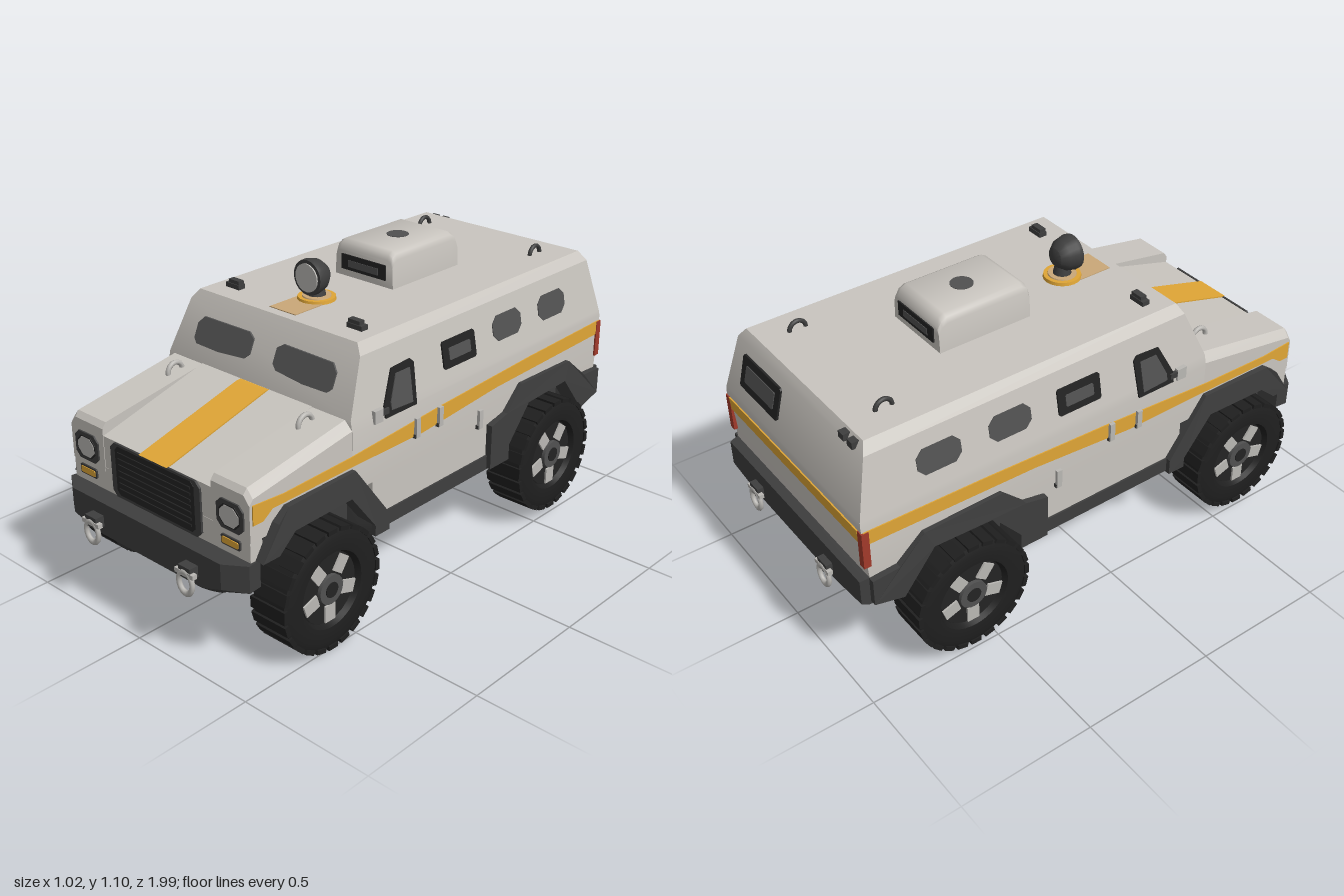
import * as THREE from 'three';
import { toCreasedNormals } from 'three/addons/utils/BufferGeometryUtils.js';

const mat = (name, color) => new THREE.MeshStandardMaterial({ name, color });

export function createModel() {
  const root = new THREE.Group();
  root.name = 'armouredTruck';
  const paint = mat('bodyPaint', 0xc9c5bf), trim = mat('darkTrim', 0x3e3e3e), rubber = mat('tyreRubber', 0x1f1f1f),
    amber = mat('amber', 0xe0a636), glass = mat('glass', 0x515151), black = mat('blackFrame', 0x232323),
    metal = mat('lightMetal', 0xbab8b4), red = mat('tailRed', 0xa23a2a), tan = mat('tanPlate', 0xcaa878);

  function add(name, geo, material, x = 0, y = 0, z = 0, parent = root) {
    const m = new THREE.Mesh(geo, material);
    m.name = name;
    m.position.set(x, y, z);
    parent.add(m);
    return m;
  }
  const box = (name, w, h, d, material, x, y, z, parent) => add(name, new THREE.BoxGeometry(w, h, d), material, x, y, z, parent);

  // Skin over rings of [x, y, z], ordered front to back, each counterclockwise seen from the front
  function loft(rings, crease = 0.45) {
    const v = [], n = rings[0].length;
    const quad = (a, b, c, d) => v.push(...a, ...b, ...c, ...a, ...c, ...d);
    for (let r = 0; r < rings.length - 1; r++)
      for (let i = 0; i < n; i++) {
        const j = (i + 1) % n, a = rings[r], b = rings[r + 1];
        quad(a[i], b[i], b[j], a[j]);
      }
    const f = rings[0], k = rings[rings.length - 1];
    for (let i = 0; i < n / 2 - 1; i++) {
      quad(f[i], f[i + 1], f[n - 2 - i], f[n - 1 - i]);
      quad(k[n - 1 - i], k[n - 2 - i], k[i + 1], k[i]);
    }
    const g = new THREE.BufferGeometry();
    g.setAttribute('position', new THREE.Float32BufferAttribute(v, 3));
    return toCreasedNormals(g, crease);
  }
  const mirrored = (half) => [...half, ...half.map(([x, y, z]) => [-x, y, z]).reverse()];
  const atZ = (z, half) => mirrored(half.map(([x, y]) => [x, y, z]));

  // Shape extruded by t, then moved by a rule
  const extrude = (pts, t, rule) =>
    rule(new THREE.ExtrudeGeometry(new THREE.Shape(pts.map((p) => new THREE.Vector2(...p))), { depth: t, bevelEnabled: false }));
  function move(g, fn) {
    const p = g.attributes.position;
    for (let i = 0; i < p.count; i++) p.setXYZ(i, ...fn(p.getX(i), p.getY(i), p.getZ(i)));
    g.computeVertexNormals();
    return g;
  }
  const panel = (cx, cy, w, h, c) => [[-w / 2 + c, -h / 2], [w / 2 - c, -h / 2], [w / 2, -h / 2 + c], [w / 2, h / 2 - c],
    [w / 2 - c, h / 2], [-w / 2 + c, h / 2], [-w / 2, h / 2 - c], [-w / 2, -h / 2 + c]].map(([x, y]) => [x + cx, y + cy]);

  // Surface rules: side wall, windscreen, hood, tail
  const sideX = (y, z) => (0.437 - 0.187 * Math.max(0, y - 0.69)) * (1 - 0.05 * Math.max(0, z - 0.46));
  const screenZ = (y) => 0.449 - 0.438 * (y - 0.73);
  const hoodZ = (y) => 0.89 - (0.44 * (y - 0.61)) / 0.12;
  const tailZ = (y) => (y < 0.7 ? -0.945 - 0.077 * (y - 0.57) : -0.955 + 0.256 * (y - 0.7));
  const sidePlate = (name, pts, t, material, s) => add(name, extrude(pts, t, (g) => move(g.rotateY(-Math.PI / 2),
    (x, y, z) => [s > 0 ? sideX(y, z) + x + t : -sideX(y, z) + x, y, z])), material);
  const frontPlate = (name, pts, t, material, rule = () => 0.89) =>
    add(name, extrude(pts, t, (g) => move(g, (x, y, z) => [x, y, rule(y) + z])), material);
  const tailPlate = (name, pts, t, material) =>
    add(name, extrude(pts, t, (g) => move(g, (x, y, z) => [x, y, tailZ(y) - t + z])), material);

  // Cabin
  const wall = (y, z) => [sideX(y, 0), y, z];
  add('cabin', loft([
    mirrored([wall(0.48, 0.449), wall(0.69, 0.449), wall(0.73, 0.449), wall(0.915, 0.368), [0.367, 0.95, 0.35]]),
    mirrored([wall(0.48, -0.938), wall(0.69, -0.954), wall(0.71, -0.952), wall(0.915, -0.9), [0.367, 0.95, -0.88]]),
  ]), paint);
  box('lowerDoors', 0.872, 0.15, 0.7, paint, 0, 0.415, 0);
  box('wheelWellLining', 0.85, 0.012, 1.72, trim, 0, 0.477, -0.03);

  // Hood, raised fenders and nose
  add('hood', loft([atZ(0.888, [[0.262, 0.41], [0.262, 0.61]]), atZ(0.448, [[0.262, 0.41], [0.262, 0.73]])]), paint);
  for (const s of [1, -1]) {
    const ring = (z, top) => {
      const r = [[0.26, 0.48], [sideX(0.48, z), 0.48], [sideX(0.57, z), 0.57],
        [sideX(top - 0.03, z), top - 0.03], [sideX(top, z) - 0.025, top], [0.26, top]].map(([x, y]) => [s * x, y, z]);
      return s > 0 ? r : r.reverse();
    };
    add('fender', loft([ring(0.89, 0.635), ring(0.875, 0.655), ring(0.445, 0.728)]), paint);
  }
  box('nosePanel', 0.85, 0.09, 0.05, paint, 0, 0.45, 0.864);
  frontPlate('hoodStripe', [[-0.067, 0.612], [0.067, 0.612], [0.067, 0.73], [-0.067, 0.73]], 0.018, amber, hoodZ);

  // Grille with slats
  frontPlate('grilleFrame', panel(0, 0.513, 0.43, 0.196, 0.02), 0.008, trim);
  frontPlate('grille', panel(0, 0.515, 0.38, 0.178, 0.015), 0.0095, black);
  for (let i = 0; i < 7; i++) box('grilleSlat', 0.35, 0.008, 0.006, black, 0, 0.449 + i * 0.022, 0.901);

  // Dark hull and bumpers, narrowed at the wheels
  const narrow = (z, b) => atZ(z, [[0.25, b], [0.35, 0.285], [0.35, 0.48]]);
  add('hull', loft([
    atZ(0.955, [[0.27, 0.29], [0.36, 0.32], [0.36, 0.41]]),
    atZ(0.905, [[0.26, 0.25], [0.435, 0.315], [0.435, 0.41]]),
    atZ(0.855, [[0.25, 0.215], [0.43, 0.315], [0.43, 0.41]]),
    narrow(0.835, 0.21), narrow(0.38, 0.22),
    atZ(0.36, [[0.25, 0.22], [0.443, 0.295], [0.443, 0.35]]),
    atZ(-0.36, [[0.25, 0.228], [0.443, 0.295], [0.443, 0.35]]),
    narrow(-0.38, 0.23), narrow(-0.82, 0.26),
    atZ(-0.84, [[0.26, 0.27], [0.437, 0.35], [0.437, 0.48]]),
    atZ(-0.95, [[0.27, 0.34], [0.437, 0.37], [0.437, 0.48]]),
    atZ(-0.972, [[0.27, 0.36], [0.432, 0.38], [0.432, 0.475]]),
  ]), trim);

  const frontFlare = [[0.87, 0.41], [0.8, 0.52], [0.75, 0.558], [0.45, 0.565], [0.29, 0.35], [0.29, 0.29], [0.36, 0.29],
    [0.36, 0.33], [0.475, 0.475], [0.73, 0.47], [0.8, 0.41]];
  const rearFlare = [[-0.26, 0.3], [-0.26, 0.47], [-0.35, 0.49], [-0.44, 0.575], [-0.74, 0.57], [-0.84, 0.485], [-0.94, 0.48],
    [-0.94, 0.38], [-0.83, 0.35], [-0.71, 0.5], [-0.48, 0.49], [-0.37, 0.36], [-0.37, 0.3]];

  for (const s of [1, -1]) {
    // Wheel arch flares, drawn in towards the top
    for (const [name, pts] of [['frontFlare', frontFlare], ['rearFlare', rearFlare]])
      add(name, extrude(pts, 0.07, (g) => move(g.rotateY(-Math.PI / 2),
        (x, y, z) => [s * 0.425 + (x + 0.035) * (y > 0.53 ? 0.8 : 1), y, z])), trim);

    // Side stripe, in two lengths
    sidePlate('sideStripe', [[0.46, 0.575], [0.1, 0.572], [-0.3, 0.603], [-0.948, 0.62], [-0.948, 0.672], [-0.5, 0.66], [0, 0.638], [0.46, 0.61]], 0.004, amber, s);
    sidePlate('sideStripe', [[0.46, 0.575], [0.46, 0.61], [0.75, 0.598], [0.88, 0.605], [0.88, 0.537], [0.84, 0.537], [0.8, 0.566]], 0.004, amber, s);

    // Side windows
    sidePlate('doorWindowFrame', [[0.295, 0.69], [0.14, 0.69], [0.13, 0.83], [0.145, 0.845], [0.24, 0.84], [0.295, 0.73]], 0.006, black, s);
    sidePlate('doorWindow', [[0.265, 0.71], [0.16, 0.705], [0.155, 0.82], [0.225, 0.82], [0.265, 0.735]], 0.009, glass, s);
    sidePlate('middleWindowFrame', panel(-0.105, 0.803, 0.175, 0.095, 0.006), 0.006, black, s);
    sidePlate('middleWindow', panel(-0.105, 0.803, 0.115, 0.042, 0.004), 0.009, glass, s);
    for (const z of [-0.38, -0.65]) sidePlate('rearSideWindow', panel(z, 0.813, 0.163, 0.09, 0.025), 0.003, glass, s);

    // Handles and mirror
    for (const [z, y] of [[0.14, 0.605], [0.02, 0.605], [-0.205, 0.515]]) {
      box('doorHandle', 0.012, 0.07, 0.02, metal, s * 0.447, y, z);
      box('handleFoot', 0.018, 0.014, 0.024, trim, s * 0.44, y - 0.03, z);
    }
    box('mirror', 0.022, 0.045, 0.04, metal, s * 0.434, 0.71, 0.33);
    box('mirrorBracket', 0.02, 0.02, 0.06, trim, s * 0.434, 0.715, 0.31);

    // Front lamps and windscreen
    frontPlate('headlampFrame', panel(s * 0.345, 0.545, 0.118, 0.1, 0.02), 0.006, trim);
    frontPlate('headlampRim', panel(s * 0.345, 0.545, 0.092, 0.076, 0.022), 0.008, black);
    frontPlate('headlampLens', panel(s * 0.345, 0.545, 0.084, 0.068, 0.022), 0.0095, metal);
    frontPlate('indicatorFrame', panel(s * 0.345, 0.455, 0.085, 0.034, 0.004), 0.006, trim);
    frontPlate('indicator', panel(s * 0.345, 0.455, 0.072, 0.022, 0.003), 0.009, amber);
    frontPlate('windscreen', [[0.055, 0.81], [0.075, 0.793], [0.2, 0.783], [0.308, 0.785], [0.325, 0.8], [0.325, 0.85], [0.302, 0.874],
      [0.08, 0.876], [0.055, 0.86]].map(([x, y]) => [s * x, y]), 0.006, glass, screenZ);

    // Tail lamps
    box('tailLamp', 0.026, 0.14, 0.026, red, s * 0.43, 0.6, -0.943);

    // Lifting eyes on the hood, loops and marker lamps on the roof
    const eye = add('liftingEye', new THREE.TorusGeometry(0.032, 0.009, 8, 16), metal, s * 0.31, 0.712, 0.53);
    eye.rotation.y = Math.PI / 2;
    const loop = add('roofLoop', new THREE.TorusGeometry(0.03, 0.008, 8, 14, Math.PI), trim, s * 0.265, 0.95, -0.745);
    loop.rotation.y = Math.PI / 2;
    box('markerLampFoot', 0.065, 0.02, 0.03, trim, s * 0.285, 0.957, 0.26);
    box('markerLamp', 0.05, 0.016, 0.024, trim, s * 0.28, 0.972, 0.26);

    // Tow shackles
    for (const [y, z, dir] of [[0.305, 0.978, 1], [0.365, -0.985, -1]]) {
      box('towBracket', 0.055, 0.04, 0.045, trim, s * 0.23, y + 0.038, z - dir * 0.012);
      box('shacklePin', 0.085, 0.016, 0.018, metal, s * 0.23, y + 0.034, z + dir * 0.004);
      const bow = add('towShackle', new THREE.TorusGeometry(0.031, 0.009, 8, 18), metal, s * 0.23, y, z + dir * 0.006);
      bow.scale.y = 1.25;
    }
  }

  // Tail details
  tailPlate('tailStripe', [[-0.417, 0.62], [0.417, 0.62], [0.417, 0.672], [-0.417, 0.672]], 0.005, amber);
  tailPlate('tailWindowFrame', panel(0.21, 0.825, 0.25, 0.115, 0.006), 0.007, black);
  tailPlate('tailWindow', panel(0.21, 0.825, 0.19, 0.06, 0.004), 0.0095, glass);
  for (const x of [-0.335, -0.285]) box('tailSensor', 0.03, 0.025, 0.03, trim, x, 0.93, -0.895);

  // Roof hatch housing, rounded over the top
  const hatch = (z, h) => atZ(z, [[0.135, 0.94], [0.131, h - 0.03], [0.124, h - 0.01], [0.108, h]]);
  add('hatchHousing', loft([hatch(-0.09, 1.05), hatch(-0.097, 1.07), hatch(-0.115, 1.08), hatch(-0.415, 1.08),
    hatch(-0.435, 1.07), hatch(-0.45, 1.045)], 0.9), paint);
  for (const [z, d] of [[-0.089, 1], [-0.451, -1]]) {
    box('hatchSlot', 0.205, 0.055, 0.008, black, 0, 1.003, z);
    box('hatchSlotGlass', 0.14, 0.025, 0.004, glass, 0, 1.0, z + d * 0.004);
  }
  add('hatchCap', new THREE.CylinderGeometry(0.04, 0.04, 0.006, 20), glass, 0, 1.079, -0.27);

  // Searchlight
  box('roofPlate', 0.12, 0.004, 0.13, tan, 0, 0.951, 0.25);
  add('searchlightRim', new THREE.CylinderGeometry(0.066, 0.068, 0.012, 20), amber, 0, 0.956, 0.15);
  add('searchlightBase', new THREE.CylinderGeometry(0.05, 0.052, 0.006, 20), tan, 0, 0.963, 0.15);
  add('searchlightStem', new THREE.CylinderGeometry(0.022, 0.035, 0.06, 14), trim, 0, 0.985, 0.15);
  const lamp = new THREE.LatheGeometry([[0, -0.05], [0.035, -0.042], [0.056, -0.015], [0.064, 0.02], [0.062, 0.036], [0, 0.036]]
    .map((p) => new THREE.Vector2(...p)), 20);
  add('searchlightHead', toCreasedNormals(lamp.rotateX(Math.PI / 2), 0.7), trim, 0, 1.036, 0.16);
  add('searchlightLens', new THREE.CylinderGeometry(0.05, 0.05, 0.006, 20).rotateX(Math.PI / 2), metal, 0, 1.036, 0.198);

  // Wheels, with the axle on x and the same rim on both faces
  const tyreGeo = toCreasedNormals(new THREE.LatheGeometry([[0, -0.05], [0.125, -0.05], [0.135, -0.072], [0.185, -0.077], [0.213, -0.066],
    [0.213, 0.066], [0.185, 0.077], [0.135, 0.072], [0.125, 0.05], [0, 0.05]].map((p) => new THREE.Vector2(...p)), 40).rotateZ(-Math.PI / 2), 0.6);
  const disc = (r, d) => new THREE.CylinderGeometry(r, r, d, 24).rotateZ(Math.PI / 2);
  for (const [x, y, z] of [[0.433, 0.222, 0.615], [-0.433, 0.248, 0.61], [0.433, 0.25, -0.595], [-0.433, 0.25, -0.595]]) {
    const wheel = new THREE.Group();
    wheel.name = 'wheel';
    wheel.position.set(x, y, z);
    root.add(wheel);
    add('tyre', tyreGeo, rubber, 0, 0, 0, wheel);
    for (let i = 0; i < 24; i++) {
      const a = (i / 24) * Math.PI * 2;
      box('tread', 0.15, 0.016, 0.04, rubber, 0, 0.2115 * Math.cos(a), 0.2115 * Math.sin(a), wheel).rotation.x = a;
    }
    for (const side of [1, -1]) {
      add('rim', disc(0.122, 0.01), black, side * 0.05, 0, 0, wheel);
      for (let i = 0; i < 5; i++) {
        const a = Math.PI + (i / 5) * Math.PI * 2;
        box('spoke', 0.012, 0.06, 0.046, metal, side * 0.056, 0.088 * Math.cos(a), 0.088 * Math.sin(a), wheel).rotation.x = a;
      }
      add('hub', disc(0.052, 0.024), glass, side * 0.056, 0, 0, wheel);
      add('hubCap', disc(0.027, 0.03), black, side * 0.056, 0, 0, wheel);
    }
  }
  return root;
}
